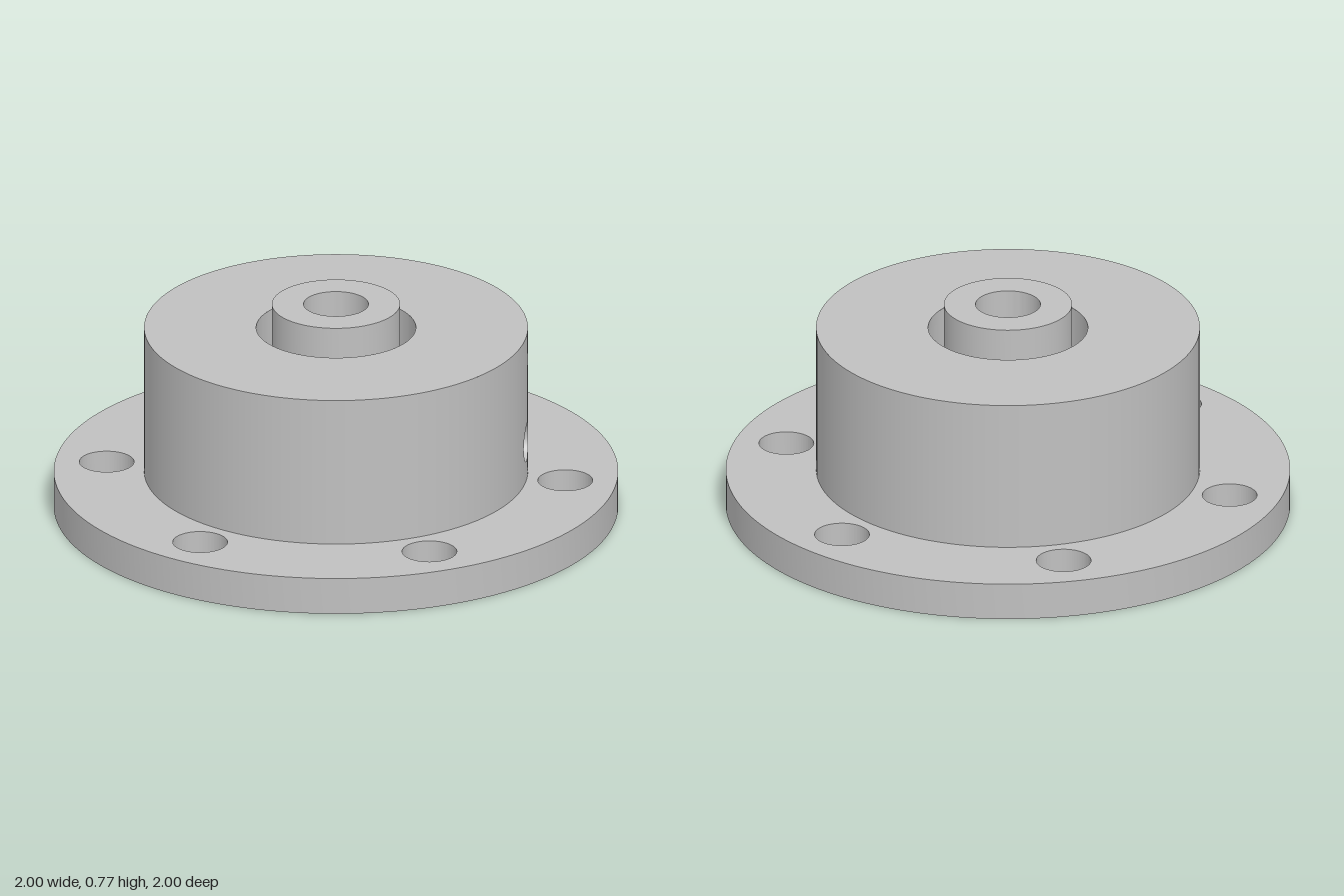
import * as THREE from 'three';
import { toCreasedNormals } from 'three/addons/utils/BufferGeometryUtils.js';

const FLANGE_TOP = 0.135, BODY_TOP = 0.685, HUB_TOP = 0.775;
const BODY_R = 0.68, RECESS_R = 0.283, HUB_R = 0.227, BORE_R = 0.115;
const PORT_Y = 0.275, PORT_R = 0.07, PATCH = 0.14;
const SEG = 96, AROUND = 64;

// Surface through closed rings of points; ringPoint(i, j) gives a Vector3
function loft(rings, ringPoint) {
  const pos = [], index = [];
  for (let j = 0; j < rings; j++)
    for (let i = 0; i < AROUND; i++) pos.push(...ringPoint(i, j).toArray());
  for (let j = 0; j < rings - 1; j++)
    for (let i = 0; i < AROUND; i++) {
      const a = j * AROUND + i, b = j * AROUND + (i + 1) % AROUND;
      index.push(a, b, a + AROUND, b, b + AROUND, a + AROUND);
    }
  const g = new THREE.BufferGeometry();
  g.setAttribute('position', new THREE.Float32BufferAttribute(pos, 3));
  g.setIndex(index);
  g.computeVertexNormals();
  return g;
}

// Point (z, y) projected on the +x side of an upright cylinder
const onCylinder = (r, z, y) => new THREE.Vector3(Math.sqrt(r * r - z * z), y, z);

function portEdge(i) {
  const a = (i / AROUND) * Math.PI * 2 - Math.PI / 4;
  return [PORT_R * Math.cos(a), PORT_Y + PORT_R * Math.sin(a)];
}

// Rectangle around the port, one quarter of the points on each side
function patchEdge(i) {
  const side = Math.floor(i / (AROUND / 4)), t = (i % (AROUND / 4)) / (AROUND / 4);
  const up = FLANGE_TOP + (BODY_TOP - FLANGE_TOP) * t;
  const down = BODY_TOP + FLANGE_TOP - up;
  const across = PATCH * (1 - 2 * t);
  return [[PATCH, up], [across, BODY_TOP], [-PATCH, down], [-across, FLANGE_TOP]][side];
}

function disc(r, holes) {
  const shape = new THREE.Shape().absarc(0, 0, r, 0, Math.PI * 2, false);
  for (const [x, y, hr] of holes)
    shape.holes.push(new THREE.Path().absarc(x, y, hr, 0, Math.PI * 2, true));
  return shape;
}

export function createModel() {
  const model = new THREE.Group();
  model.name = 'flangedHousing';
  const metal = new THREE.MeshStandardMaterial({ color: 0xc0c0c0, side: THREE.DoubleSide });
  metal.name = 'grey metal';
  const add = (name, geometry, parent = model) => {
    const mesh = new THREE.Mesh(geometry, metal);
    mesh.name = name;
    parent.add(mesh);
    return mesh;
  };

  // Flange with six bolt holes and the centre bore
  const holes = [[0, 0, BORE_R]];
  for (let k = 0; k < 6; k++) {
    const a = k * Math.PI / 3;
    holes.push([0.817 * Math.cos(a), 0.817 * Math.sin(a), 0.097]);
  }
  const flange = new THREE.ExtrudeGeometry(disc(1, holes),
    { depth: FLANGE_TOP, bevelEnabled: false, curveSegments: SEG });
  flange.rotateX(-Math.PI / 2);
  add('flange', toCreasedNormals(flange, 0.6));

  // Body: outer and recess walls, each pierced by the radial port
  const body = new THREE.Group();
  body.name = 'body';
  model.add(body);
  const wall = (name, r) => {
    const half = Math.asin(PATCH / r), h = BODY_TOP - FLANGE_TOP;
    const shell = new THREE.CylinderGeometry(r, r, h, SEG, 1, true,
      Math.PI / 2 + half, Math.PI * 2 - 2 * half);
    shell.translate(0, FLANGE_TOP + h / 2, 0);
    add(name, shell, body);
    const rings = 7;
    add(name + 'AroundPort', loft(rings, (i, j) => {
      const [z0, y0] = portEdge(i), [z1, y1] = patchEdge(i), t = j / (rings - 1);
      return onCylinder(r, z0 + (z1 - z0) * t, y0 + (y1 - y0) * t);
    }), body);
  };
  wall('outerWall', BODY_R);
  wall('recessWall', RECESS_R);
  add('radialPort', loft(2, (i, j) => onCylinder(j ? RECESS_R : BODY_R, ...portEdge(i))), body);
  const top = new THREE.ShapeGeometry(disc(BODY_R, [[0, 0, RECESS_R]]), SEG);
  top.rotateX(-Math.PI / 2);
  top.translate(0, BODY_TOP, 0);
  add('bodyTop', top, body);

  // Central hub with a groove level with the port, and its bore
  const profile = [
    [HUB_R, FLANGE_TOP], [HUB_R, 0.227], [0.2, 0.227], [0.2, 0.323], [HUB_R, 0.323],
    [HUB_R, HUB_TOP], [BORE_R, HUB_TOP], [BORE_R, FLANGE_TOP],
  ].map(([x, y]) => new THREE.Vector2(x, y));
  add('hub', toCreasedNormals(new THREE.LatheGeometry(profile, SEG), 0.6));

  return model;
}
